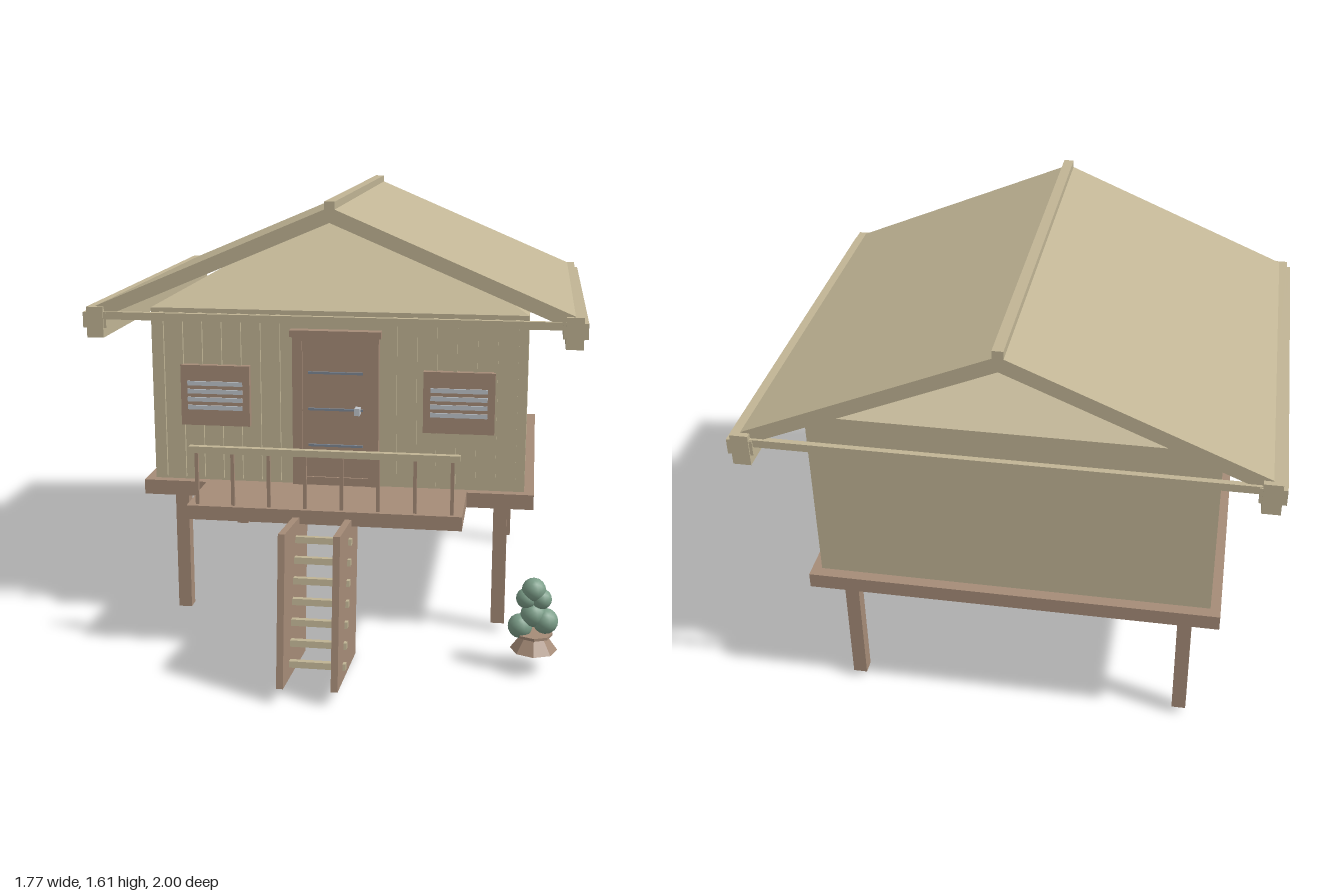
import * as THREE from 'three';

const mat = (name, color) => {
  const m = new THREE.MeshStandardMaterial({ color });
  m.name = name;
  return m;
};

export function createModel() {
  const root = new THREE.Group();
  root.name = 'stiltHut';
  const tan = mat('paleTimber', 0xc1b595);
  const brown = mat('brownTimber', 0xa68c78);
  const green = mat('foliage', 0x7d9f8a);
  const slatMat = mat('slatGrey', 0xc0c6cc);
  const iron = mat('hingeGrey', 0x7d8794);

  const add = (name, geo, material) => {
    const mesh = new THREE.Mesh(geo, material);
    mesh.name = name;
    root.add(mesh);
    return mesh;
  };
  // Box given by its min and max along each axis
  const box = (name, m, x0, x1, y0, y1, z0, z1) => {
    const b = add(name, new THREE.BoxGeometry(x1 - x0, y1 - y0, z1 - z0), m);
    b.position.set((x0 + x1) / 2, (y0 + y1) / 2, (z0 + z1) / 2);
    return b;
  };
  const prism = (pts, depth) => new THREE.ExtrudeGeometry(
    new THREE.Shape(pts.map(p => new THREE.Vector2(...p))), { depth, bevelEnabled: false });

  // Platform, porch and stilts
  box('platform', brown, -0.72, 0.72, 0.51, 0.565, -0.86, 0.37);
  box('porch', brown, -0.48, 0.48, 0.52, 0.57, 0.37, 0.67);
  for (const x of [-0.6, 0.6]) for (const z of [0.265, -0.75])
    box('stilt', brown, x - 0.025, x + 0.025, 0.035, 0.51, z - 0.025, z + 0.025);

  // Walls with a hipped ceiling hidden under the roof
  box('walls', tan, -0.685, 0.685, 0.565, 1.21, -0.82, 0.335);
  const hip = new THREE.ConeGeometry(Math.SQRT1_2, 1, 4, 1, true);
  hip.rotateY(Math.PI / 4);
  hip.scale(1.37, 0.38, 1.155);
  const hipMesh = add('ceiling', hip.toNonIndexed(), tan);
  hipMesh.geometry.computeVertexNormals();
  hipMesh.position.set(0, 1.4, -0.2425);

  // Front battens
  for (const s of [-1, 1]) for (let i = 0; i < 7; i++) {
    const x = s * (0.645 - i * 0.072);
    box('batten', tan, x - 0.007, x + 0.007, 0.575, 1.195, 0.33, 0.347);
  }

  // Roof slopes, ridge cap, eaves beams and tie beams
  for (const s of [-1, 1]) {
    const pts = [[0, 1.593], [0, 1.54], [s * 0.84, 1.185], [s * 0.84, 1.237]];
    add('roofSlope', prism(pts, 1.47), tan).position.z = -0.98;
    const at = (name, a, b, y0, y1, z0, z1) =>
      box(name, tan, Math.min(s * a, s * b), Math.max(s * a, s * b), y0, y1, z0, z1);
    at('eavesBeam', 0.81, 0.87, 1.125, 1.235, -1, 0.505);
    at('eavesLip', 0.8, 0.885, 1.16, 1.215, -0.995, 0.5);
  }
  box('ridgeCap', tan, -0.018, 0.018, 1.58, 1.612, -0.98, 0.49);
  box('frontTieBeam', tan, -0.87, 0.87, 1.19, 1.217, 0.478, 0.498);
  box('backTieBeam', tan, -0.87, 0.87, 1.19, 1.217, -0.99, -0.97);

  // Door with frame, hinges and knob
  for (const s of [-1, 1])
    box('doorJamb', brown, s * 0.139 - 0.018, s * 0.139 + 0.018, 0.57, 1.12, 0.33, 0.368);
  box('doorHead', brown, -0.165, 0.165, 1.12, 1.145, 0.33, 0.375);
  box('doorLintel', brown, -0.121, 0.121, 1.105, 1.12, 0.33, 0.368);
  box('doorSill', brown, -0.121, 0.121, 0.57, 0.6, 0.33, 0.365);
  box('door', brown, -0.121, 0.121, 0.6, 1.105, 0.33, 0.358);
  for (const y of [0.72, 0.855, 0.99])
    box('hingeStrap', iron, -0.1, 0.1, y - 0.004, y + 0.004, 0.357, 0.366);
  box('doorKnob', slatMat, 0.073, 0.092, 0.842, 0.868, 0.358, 0.395);

  // Shuttered windows
  for (const x of [-0.445, 0.445]) {
    box('shutter', brown, x - 0.128, x + 0.128, 0.78, 1.005, 0.33, 0.362);
    for (let i = 0; i < 4; i++) {
      const y = 0.848 + i * 0.03;
      box('shutterSlat', slatMat, x - 0.102, x + 0.102, y - 0.008, y + 0.008, 0.36, 0.368);
    }
  }

  // Porch railing
  box('handrail', tan, -0.47, 0.47, 0.757, 0.78, 0.635, 0.658);
  for (let i = 0; i < 8; i++) {
    const x = -0.445 + i * 0.127;
    box('baluster', brown, x - 0.006, x + 0.006, 0.57, 0.757, 0.641, 0.653);
  }

  // Ladder: two leaning side boards with rungs passing through
  const side = [[-0.936, 0.573], [-1, 0.058], [-0.567, 0.005], [-0.503, 0.525]];
  for (const x of [-0.092, 0.09]) {
    const g = prism(side, 0.023);
    g.translate(0, 0, -0.0115);
    g.rotateY(Math.PI / 2);
    add('ladderSide', g, brown).position.x = x;
  }
  for (let i = 0; i < 7; i++) {
    const r = box('ladderRung', tan, -0.112, 0.112, -0.011, 0.011, -0.013, 0.013);
    r.position.set(0, 0.095 + i * 0.0655, 0.877 - i * 0.0233);
    r.rotation.x = -0.12;
  }

  // Potted shrub
  const potProfile = [[0, 0], [0.082, 0], [0.045, 0.05], [0.064, 0.052], [0.064, 0.062], [0, 0.062]];
  const potGeo = new THREE.LatheGeometry(
    potProfile.map(p => new THREE.Vector2(...p)), 8).toNonIndexed();
  potGeo.computeVertexNormals();
  add('pot', potGeo, brown).position.set(0.735, 0.083, 0.612);
  const leaves = [[0.73, 0.3, 0.042], [0.757, 0.268, 0.036], [0.705, 0.268, 0.036],
    [0.772, 0.188, 0.045], [0.686, 0.165, 0.043], [0.73, 0.21, 0.044]];
  for (const [x, y, r] of leaves)
    add('leafBall', new THREE.IcosahedronGeometry(r, 2), green).position.set(x, y, 0.612);

  return root;
}
